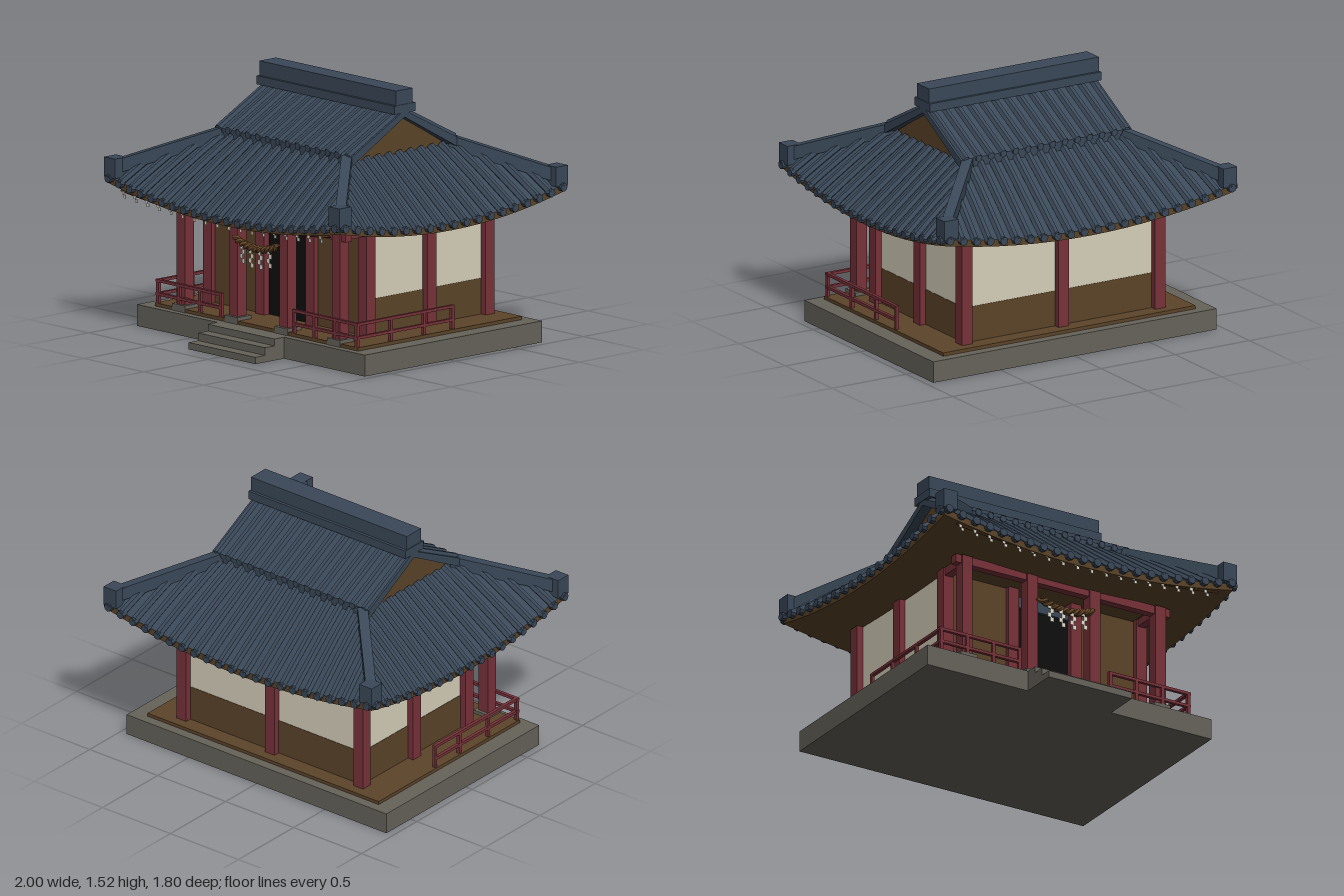
import * as THREE from 'three';
import { ParametricGeometry } from 'three/addons/geometries/ParametricGeometry.js';

const mat = (name, color, extra = {}) => {
  const m = new THREE.MeshStandardMaterial({ color, flatShading: true, ...extra });
  m.name = name;
  return m;
};

export function createModel() {
  const root = new THREE.Group();
  root.name = 'shrineHall';
  const both = { side: THREE.DoubleSide };
  const tile = mat('slateTile', 0x3a4858, both);
  const red = mat('redLacquer', 0x78323a);
  const wood = mat('brownWood', 0x5c4429, both);
  const plaster = mat('creamPlaster', 0xd6cfba);
  const stone = mat('greyStone', 0x66635a);
  const black = mat('darkDoorway', 0x0e0e0e);
  const straw = mat('strawRope', 0x6a4828);
  const paper = mat('whitePaper', 0xece6d6, both);

  const add = (name, geo, material, parent = root) => {
    const m = new THREE.Mesh(geo, material);
    m.name = name;
    parent.add(m);
    return m;
  };
  const box = (name, material, x0, x1, y0, y1, z0, z1, parent = root) => {
    const m = add(name, new THREE.BoxGeometry(x1 - x0, y1 - y0, z1 - z0), material, parent);
    m.position.set((x0 + x1) / 2, (y0 + y1) / 2, (z0 + z1) / 2);
    return m;
  };
  const group = (name, parent = root) => {
    const g = new THREE.Group();
    g.name = name;
    parent.add(g);
    return g;
  };
  const V = (x, y, z) => new THREE.Vector3(x, y, z);
  const tube = (name, pts, r, material, parent, seg = 4, sides = 6) =>
    add(name, new THREE.TubeGeometry(new THREE.CatmullRomCurve3(pts), seg, r, sides), material, parent);

  // Stone base, steps and timber floor
  box('stoneBase', stone, -0.955, 0.955, 0, 0.125, -0.72, 0.665);
  [[0.125, 0.74], [0.085, 0.815], [0.04, 0.89]].forEach(([y, z], i) =>
    box('step' + (i + 1), stone, -0.28, 0.28, 0, y, i ? 0.74 + 0.075 * (i - 1) : 0.665, z));
  box('floor', wood, -0.85, 0.85, 0.125, 0.145, -0.66, 0.62);

  // Posts
  const posts = group('posts');
  const post = (x, z, y0 = 0.145) =>
    box('post', red, x - 0.035, x + 0.035, y0, 0.785, z - 0.035, z + 0.035, posts);
  for (const s of [-1, 1]) {
    for (const x of [0.21, 0.65]) {
      post(s * x, 0.57, 0.16);
      post(s * x, 0.365);
      box('postPad', stone, s * x - 0.055, s * x + 0.055, 0.125, 0.165, 0.515, 0.625, posts);
    }
    post(s * 0.65, -0.11);
    post(s * 0.65, -0.565);
    box('sideBeam', red, s * 0.65 - 0.025, s * 0.65 + 0.025, 0.735, 0.785, 0.365, 0.57);
  }
  post(0, -0.565);
  box('porchBeam', red, -0.72, 0.72, 0.735, 0.785, 0.545, 0.595);

  // Walls and doorway
  for (const s of [-1, 1]) {
    const x = s * 0.635;
    box('sideWallLower', wood, x - 0.012, x + 0.012, 0.145, 0.355, -0.565, 0.365);
    box('sideWallUpper', plaster, x - 0.01, x + 0.01, 0.355, 0.785, -0.565, 0.365);
    box('frontPanel', wood, s * 0.43 - 0.2, s * 0.43 + 0.2, 0.145, 0.785, 0.345, 0.37);
  }
  box('backWallLower', wood, -0.65, 0.65, 0.145, 0.355, -0.562, -0.538);
  box('backWallUpper', plaster, -0.65, 0.65, 0.355, 0.785, -0.56, -0.54);
  box('doorway', black, -0.19, 0.19, 0.145, 0.67, 0.345, 0.36);
  box('doorLintel', tile, -0.18, 0.18, 0.67, 0.735, 0.345, 0.375);

  // Railings round the two front corners
  for (const s of [-1, 1]) {
    const rail = group(s > 0 ? 'leftRailing' : 'rightRailing');
    const bar = (x0, x1, y0, y1, z0, z1) =>
      box('railBar', red, Math.min(s * x0, s * x1), Math.max(s * x0, s * x1), y0, y1, z0, z1, rail);
    for (const y of [0.19, 0.268]) {
      bar(0.295, 0.845, y, y + 0.017, 0.6, 0.62);
      bar(0.822, 0.842, y, y + 0.017, -0.14, 0.61);
    }
    for (const x of [0.305, 0.48, 0.655, 0.832]) bar(x - 0.01, x + 0.01, 0.145, 0.28, 0.6, 0.62);
    for (const z of [0.35, 0.09, -0.13]) bar(0.822, 0.842, 0.145, 0.28, z - 0.01, z + 0.01);
  }

  // Lower hipped roof: four curved slopes with round tiles, fascia and soffit
  const eave = (u) => 0.8 + 0.1 * u * u;
  for (let k = 0; k < 4; k++) {
    const side = group(['front', 'left', 'back', 'right'][k] + 'Slope');
    side.rotation.y = (k * Math.PI) / 2;
    const [W, D, w, d, iw, id] = k % 2 ? [0.87, 0.97, 0.4, 0.52, 0.5, 0.6] : [0.97, 0.87, 0.52, 0.4, 0.6, 0.5];
    const mix = THREE.MathUtils.lerp;
    const height = (u, v) => mix(eave(u), 1.14, v);
    const sheet = (name, fn, material, stacks) =>
      add(name, new ParametricGeometry((a, v, t) => fn(2 * a - 1, v, t), 16, stacks), material, side);
    sheet('roofSheet', (u, v, t) => t.set(u * mix(W, w, v), height(u, v), mix(D, d, v)), tile, 5);
    sheet('fascia', (u, v, t) => t.set(u * W, eave(u) - 0.04 * (1 - v), D), wood, 1);
    sheet('soffit', (u, v, t) => t.set(u * mix(W, iw, v), mix(eave(u) - 0.04, 0.775, v), mix(D, id, v)), wood, 4);

    const n = k % 2 ? 19 : 22;
    for (let i = 0; i < n; i++) {
      const x = mix(-W + 0.02, W - 0.02, i / (n - 1));
      const end = Math.min(1, (W - Math.abs(x)) / (W - w - 0.12 * Math.abs(x)));
      const at = (v) => {
        const px = x * (1 - 0.12 * v);
        const u = THREE.MathUtils.clamp(px / mix(W, w, v), -1, 1);
        return V(px, height(u, v) + 0.006, mix(D, d, v));
      };
      const pts = [-0.04, 0.33 * end, 0.66 * end, end].map(at);
      tube('roundTile', pts, 0.024, tile, side);
      const cap = add('eaveCap', new THREE.CylinderGeometry(0.025, 0.025, 0.04, 8), tile, side);
      cap.rotation.x = Math.PI / 2;
      cap.position.set(x, pts[0].y + 0.004, D + 0.01);
    }
  }
  box('ceiling', wood, -0.61, 0.61, 0.772, 0.78, -0.51, 0.51);

  // Hip ridges and corner blocks
  for (const sx of [-1, 1]) for (const sz of [-1, 1]) {
    const a = V(sx * 0.94, 0.96, sz * 0.84), b = V(sx * 0.52, 1.155, sz * 0.4);
    const hip = add('hipRidge', new THREE.BoxGeometry(0.06, 0.075, a.distanceTo(b)), tile);
    hip.position.copy(a).lerp(b, 0.5);
    hip.lookAt(b);
    box('cornerBlock', tile, sx * 0.94 - 0.046, sx * 0.94 + 0.046, 0.9, 1.015, sz * 0.845 - 0.046, sz * 0.845 + 0.046);
  }

  // Upper gabled roof
  const prism = (name, pts, len, material) => {
    const shape = new THREE.Shape(pts.map(([x, y]) => new THREE.Vector2(x, y)));
    const geo = new THREE.ExtrudeGeometry(shape, { depth: len, bevelEnabled: false });
    geo.translate(0, 0, -len / 2).rotateY(Math.PI / 2);
    return add(name, geo, material);
  };
  prism('upperRoof', [[0, 1.4], [-0.41, 1.185], [-0.41, 1.13], [0, 1.36], [0.41, 1.13], [0.41, 1.185]], 1.15, tile);
  prism('gableWall', [[-0.4, 1.13], [0.4, 1.13], [0, 1.365]], 1.03, wood);
  for (const s of [-1, 1]) for (let i = 0; i < 14; i++) {
    const x = -0.54 + (1.08 * i) / 13;
    tube('upperTile', [V(x, 1.4, 0), V(x, 1.183, s * 0.415)], 0.022, tile, root, 1);
    const cap = add('upperTileCap', new THREE.CylinderGeometry(0.022, 0.022, 0.012, 6), tile);
    cap.rotation.x = Math.PI / 2;
    cap.position.set(x, 1.18, s * 0.412);
  }
  box('ridgeBase', tile, -0.578, 0.578, 1.385, 1.435, -0.082, 0.082);
  box('ridgeBeam', tile, -0.573, 0.573, 1.43, 1.52, -0.065, 0.065);

  // Folded paper streamers
  const streamer = (x, top, z, w, h, n, parent) => {
    for (let i = 0; i < n; i++) {
      const cx = x + (i % 2 ? 0.35 : -0.35) * w;
      box('paperFold', paper, cx - w / 2, cx + w / 2, top - (i + 1) * h, top - i * h, z - 0.002, z + 0.002, parent);
    }
  };

  // Twisted rope over the entrance
  const rope = group('entranceRope');
  for (const phase of [0, Math.PI]) {
    const pts = [];
    for (let i = 0; i <= 40; i++) {
      const t = i / 20 - 1, a = phase + i * 0.8;
      pts.push(V(t * 0.18, 0.59 + 0.04 * t * t + 0.011 * Math.sin(a), 0.622 + 0.011 * Math.cos(a)));
    }
    tube('ropeStrand', pts, 0.014, straw, rope, 60, 6);
  }
  for (const x of [-0.105, -0.03, 0.045, 0.12]) streamer(x, 0.585 + 1.5 * x * x, 0.632, 0.024, 0.027, 4, rope);

  // Cord with small streamers under the front eave
  const garland = group('eaveGarland');
  const cord = [];
  for (let i = 0; i <= 8; i++) {
    const x = -0.88 + 0.22 * i;
    cord.push(V(x, 0.775 + 0.055 * (x / 0.88) ** 2, 0.855));
  }
  tube('eaveCord', cord, 0.007, straw, garland, 16, 5);
  for (let i = 0; i < 18; i++) {
    const x = -0.85 + 0.097 * i;
    streamer(x, 0.777 + 0.055 * (x / 0.88) ** 2, 0.862, 0.018, 0.019, 2, garland);
  }
  return root;
}
